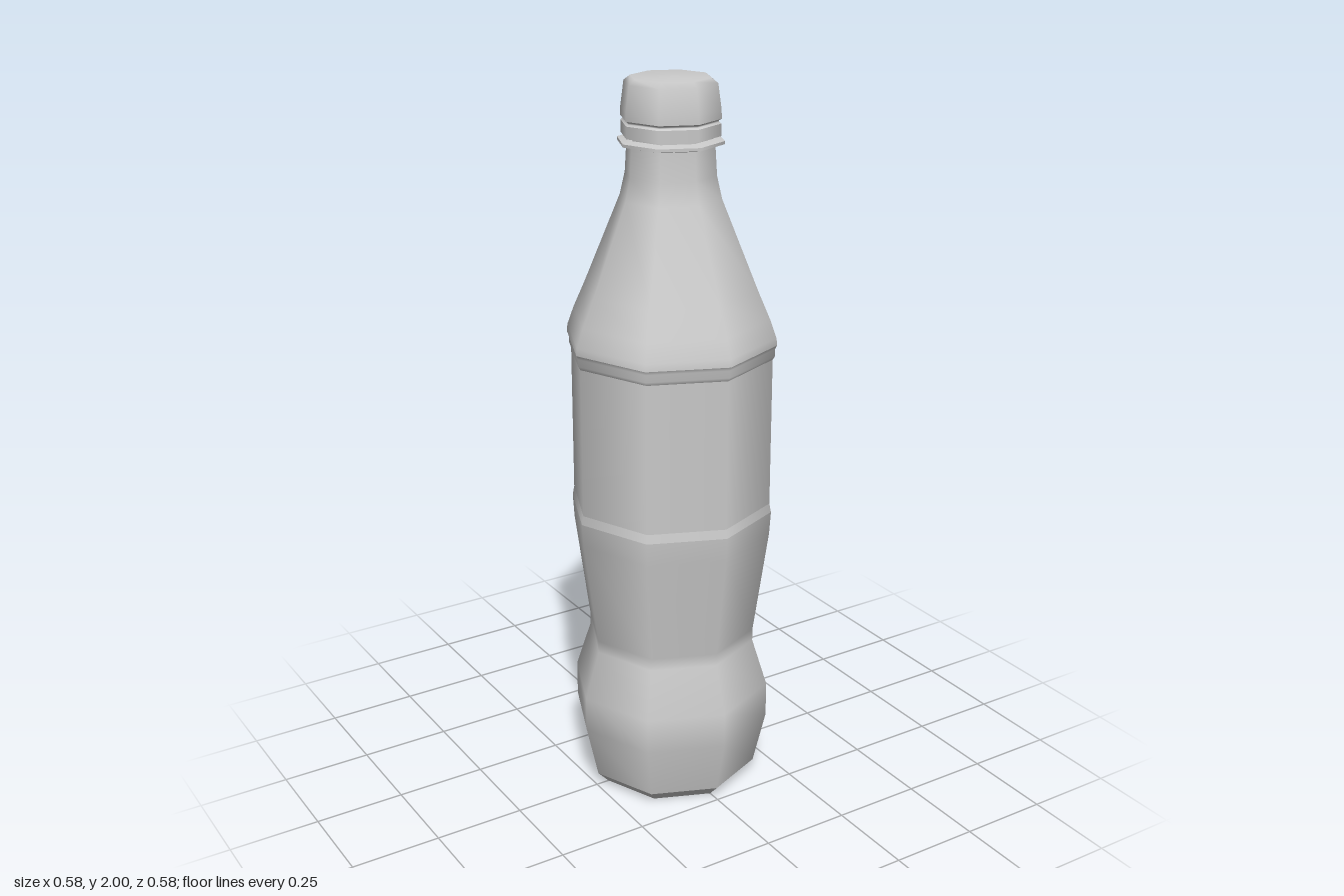
import * as THREE from 'three';

const SIDES = 8;

export function createModel() {
  const bottle = new THREE.Group();
  bottle.name = 'bottle';
  const grey = new THREE.MeshStandardMaterial({ color: 0xcccccc });
  grey.name = 'light grey';

  // Turns an [radius, height] profile, listed bottom to top, into an eight-sided part
  const turn = (name, profile) => {
    const points = profile.map(([r, y]) => new THREE.Vector2(r, y));
    const mesh = new THREE.Mesh(new THREE.LatheGeometry(points, SIDES), grey);
    mesh.name = name;
    bottle.add(mesh);
  };

  // Base
  turn('baseDisc', [[0, 0], [0.212, 0]]);
  turn('baseRim', [[0.212, 0], [0.245, 0.035]]);

  // Bulging foot, pinched waist and flare up to the label
  turn('lowerBody', [
    [0.245, 0.035], [0.28, 0.19], [0.28, 0.29], [0.237, 0.425], [0.237, 0.46],
    [0.278, 0.76], [0.282, 0.825],
  ]);
  turn('labelLowerLedge', [[0.282, 0.825], [0.277, 0.85]]);

  // Straight label band
  turn('label', [[0.277, 0.85], [0.277, 1.265]]);
  turn('labelUpperLedge', [[0.277, 1.265], [0.283, 1.275], [0.283, 1.295], [0.288, 1.305]]);

  // Shoulder tapering into the neck
  turn('shoulder', [
    [0.288, 1.305], [0.286, 1.325], [0.268, 1.375], [0.235, 1.45],
    [0.136, 1.69], [0.122, 1.75], [0.117, 1.83],
  ]);

  // Thin collar under the cap
  turn('collarUnderside', [[0.117, 1.826], [0.142, 1.832]]);
  turn('collarEdge', [[0.142, 1.832], [0.142, 1.84]]);
  turn('collarTop', [[0.142, 1.84], [0.113, 1.845]]);
  turn('neckFinish', [[0.113, 1.843], [0.113, 1.86]]);

  // Cap with its tamper ring
  turn('tamperRingUnderside', [[0.113, 1.852], [0.132, 1.852]]);
  turn('tamperRing', [[0.132, 1.852], [0.132, 1.884]]);
  turn('capGroove', [[0.132, 1.884], [0.126, 1.888], [0.126, 1.892], [0.133, 1.896]]);
  turn('cap', [[0.133, 1.896], [0.132, 1.92], [0.123, 1.985], [0.106, 1.998], [0, 2]]);

  return bottle;
}
